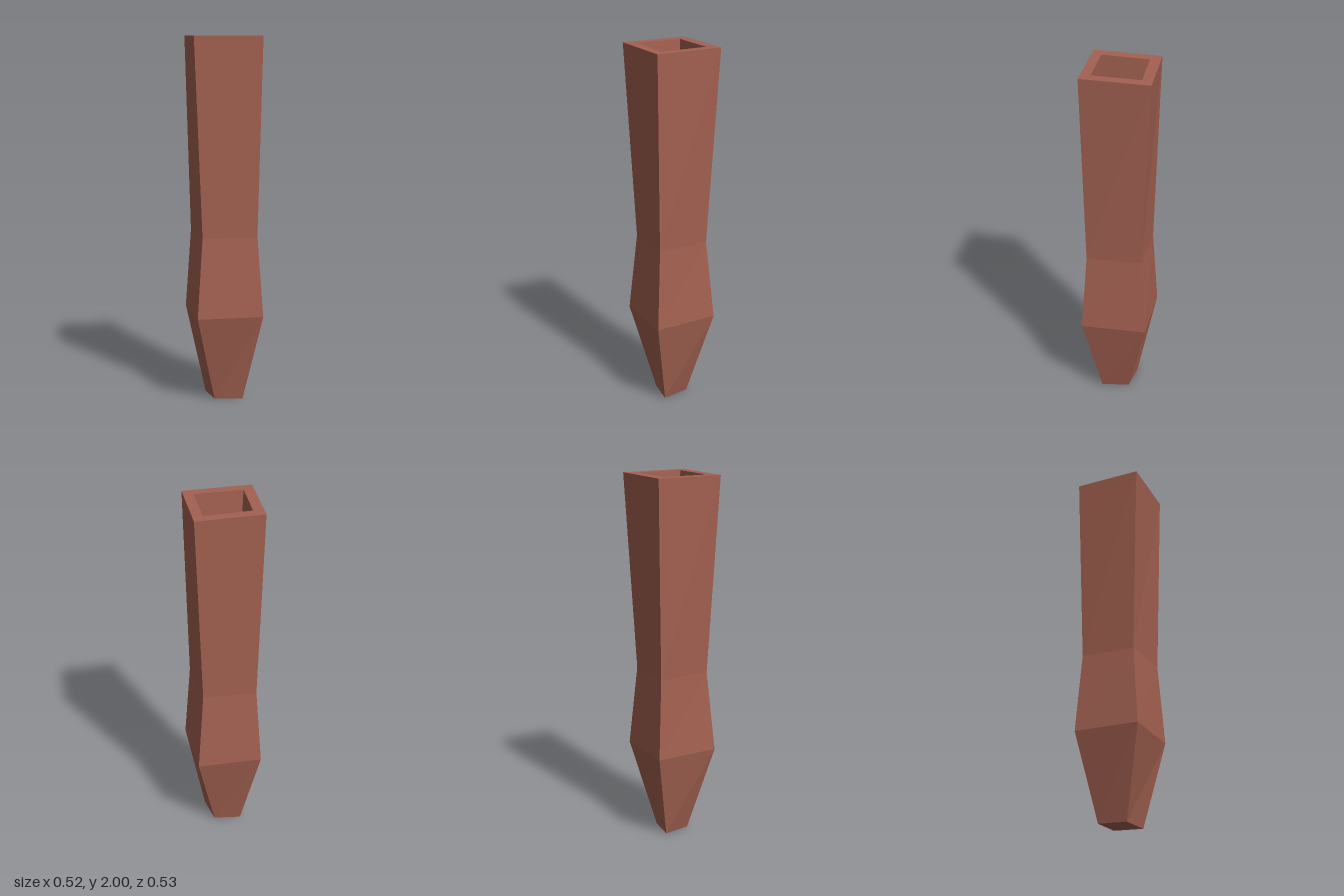
import * as THREE from 'three';

// Diamond cross-section, counterclockwise from above: left corner, front, right, back
function diamond(y, left, right, depth, tipX = 0) {
  return [[left, y, 0], [tipX, y, depth], [right, y, 0], [tipX, y, -depth]];
}

// Skins consecutive rings, optionally capping the first and last ones
function loft(rings, { capStart = false, capEnd = false } = {}) {
  const pos = [];
  const tri = (...corners) => corners.forEach((c) => pos.push(...c));
  for (let r = 0; r < rings.length - 1; r++) {
    const a = rings[r], b = rings[r + 1];
    for (let i = 0; i < 4; i++) {
      const j = (i + 1) % 4;
      tri(a[i], a[j], b[j]);
      tri(a[i], b[j], b[i]);
    }
  }
  if (capStart) {
    const s = rings[0];
    tri(s[0], s[2], s[1]);
    tri(s[0], s[3], s[2]);
  }
  if (capEnd) {
    const e = rings[rings.length - 1];
    tri(e[0], e[1], e[2]);
    tri(e[0], e[2], e[3]);
  }
  const geo = new THREE.BufferGeometry();
  geo.setAttribute('position', new THREE.Float32BufferAttribute(pos, 3));
  geo.computeVertexNormals();
  return geo;
}

export function createModel() {
  const group = new THREE.Group();
  group.name = 'hollowPost';
  const clay = new THREE.MeshStandardMaterial({ color: 0xa36151 });
  clay.name = 'reddish brown';

  const add = (name, geometry) => {
    const mesh = new THREE.Mesh(geometry, clay);
    mesh.name = name;
    group.add(mesh);
  };

  const outerTop = diamond(2, -0.26, 0.25, 0.266, -0.01);
  const innerTop = diamond(2, -0.182, 0.175, 0.187, -0.008);

  // Outer body: narrow foot, bulge, waist and flared mouth
  add('outerBody', loft([
    diamond(0, -0.125, 0.125, 0.09, -0.003),
    diamond(0.485, -0.26, 0.258, 0.247, -0.005),
    diamond(0.925, -0.222, 0.218, 0.198, -0.006),
    outerTop,
  ], { capStart: true }));

  // Flat rim around the mouth
  add('rim', loft([outerTop, innerTop]));

  // Tapering cavity with a small floor
  add('cavity', loft([
    innerTop,
    diamond(0.06, -0.077, 0.07, 0.047, -0.005),
  ], { capEnd: true }));

  return group;
}
